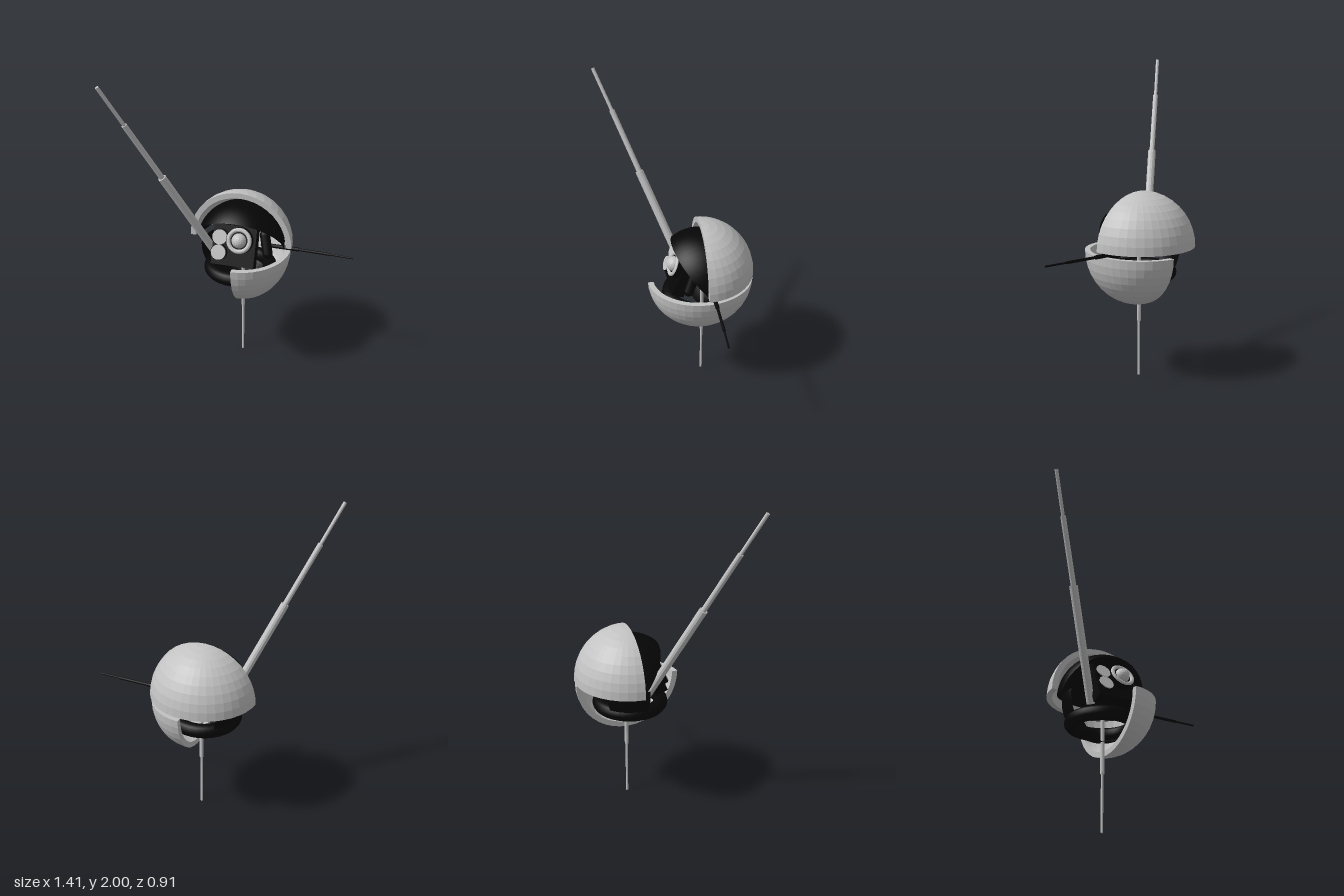
import * as THREE from 'three';

const D = THREE.DoubleSide;
const grey = new THREE.MeshStandardMaterial({ color: 0xc2c2c2, flatShading: true, side: D, name: 'shell grey' });
const black = new THREE.MeshStandardMaterial({ color: 0x060606, side: D, name: 'core black' });
const rad = THREE.MathUtils.degToRad;

export function createModel() {
  const model = new THREE.Group();
  model.name = 'probe';

  const add = (name, geo, mat, pos = [0, 0, 0], parent = model) => {
    const m = new THREE.Mesh(geo, mat);
    m.name = name;
    m.position.set(...pos);
    parent.add(m);
    return m;
  };

  // Straight rod between two points
  const rod = (name, a, b, r, mat) => {
    const p = new THREE.Vector3(...a), q = new THREE.Vector3(...b);
    const dir = q.clone().sub(p);
    const m = add(name, new THREE.CylinderGeometry(r, r, dir.length(), 12), mat,
      p.clone().add(q).multiplyScalar(0.5).toArray());
    m.quaternion.setFromUnitVectors(new THREE.Vector3(0, 1, 0), dir.normalize());
  };

  // Rod made of several sections: points with a radius for each section
  const sections = (name, pts, radii, mat) => radii.forEach((r, i) =>
    rod(name + (i + 1), pts[i], pts[i + 1], r, mat));

  // Thick quarter sphere, dome upwards and open to +z
  const quarterShell = (name, outer, inner) => {
    const g = new THREE.Group();
    g.name = name;
    for (const [part, r] of [['Outside', outer], ['Inside', inner]])
      add(name + part, new THREE.SphereGeometry(r, 20, 10, Math.PI, Math.PI, 0, Math.PI / 2), grey, [0, 0, 0], g);
    const rim = () => new THREE.RingGeometry(inner, outer, 20, 1, 0, Math.PI);
    add(name + 'FrontRim', rim(), grey, [0, 0, 0], g);
    add(name + 'LevelRim', rim().rotateX(-Math.PI / 2), grey, [0, 0, 0], g);
    model.add(g);
    return g;
  };

  // Outer armour: upper back quarter and lower left quarter
  const upper = quarterShell('upperShell', 0.344, 0.308);
  upper.position.set(-0.034, 0.847, -0.11);
  upper.rotation.y = -0.036;
  const lower = quarterShell('lowerShell', 0.341, 0.305);
  lower.position.set(0, 0.818, -0.103);
  lower.rotation.set(Math.PI, -Math.PI / 2, 0);
  lower.scale.z = 0.88;

  // Black hood under the upper shell, a slice of a sphere about the x axis
  const hood = new THREE.SphereGeometry(0.287, 28, 24, rad(-80), rad(119)).rotateZ(-Math.PI / 2);
  add('hood', hood, black, [-0.028, 0.842, -0.105]);

  // Black lower bowl, open to the front, with a rolled rim and a raised side panel
  const c = [-0.028, 0.82, -0.1];
  add('bowl', new THREE.SphereGeometry(0.256, 32, 12, rad(180), rad(200), rad(122), rad(58)), black, c);
  add('bowlRim', new THREE.TorusGeometry(0.195, 0.045, 14, 36).rotateX(Math.PI / 2), black, [-0.028, 0.677, -0.1]);
  add('sidePanel', new THREE.SphereGeometry(0.256, 16, 8, rad(-52), rad(62), rad(84), rad(42)), black, c);

  // Tilted head with three lenses
  const head = new THREE.Group();
  head.name = 'head';
  head.position.set(-0.03, 0.885, 0.015);
  head.rotation.x = -0.4;
  model.add(head);
  add('headBlock', new THREE.BoxGeometry(0.28, 0.26, 0.08), black, [0, 0, 0], head);
  const disc = (r, h) => new THREE.CylinderGeometry(r, r, h, 20).rotateX(Math.PI / 2);
  for (const y of [0.048, -0.05]) {
    add('smallLensMount', disc(0.053, 0.03), black, [-0.09, y, 0.05], head);
    add('smallLens', disc(0.048, 0.03), grey, [-0.09, y, 0.056], head);
  }
  add('mainLensMount', disc(0.085, 0.05), black, [0.04, 0.04, 0.055], head);
  add('mainLensRing', new THREE.TorusGeometry(0.069, 0.014, 10, 24), grey, [0.04, 0.04, 0.078], head);
  add('mainLens', new THREE.SphereGeometry(0.048, 18, 12), grey, [0.04, 0.04, 0.075], head);
  const bar = add('sideBar', new THREE.CapsuleGeometry(0.033, 0.12, 6, 14), black, [0.165, 0.905, -0.015]);
  bar.rotation.set(-0.4, 0, 0.25);

  // Telescopic antenna
  sections('antenna', [[-0.155, 0.76, -0.03], [-0.43, 1.39, 0.21], [-0.59, 1.755, 0.348], [-0.695, 1.997, 0.441]],
    [0.026, 0.017, 0.011], grey);

  // Bottom probe
  sections('bottomProbe', [[-0.015, 0.8, -0.12], [-0.015, 0.36, -0.12], [-0.015, 0, -0.12]], [0.013, 0.008], grey);

  // Side probe
  sections('sideProbe', [[0.1, 0.829, -0.145], [0.35, 0.829, -0.138], [0.56, 0.828, -0.13], [0.705, 0.827, -0.122]],
    [0.013, 0.009, 0.006], black);

  return model;
}
